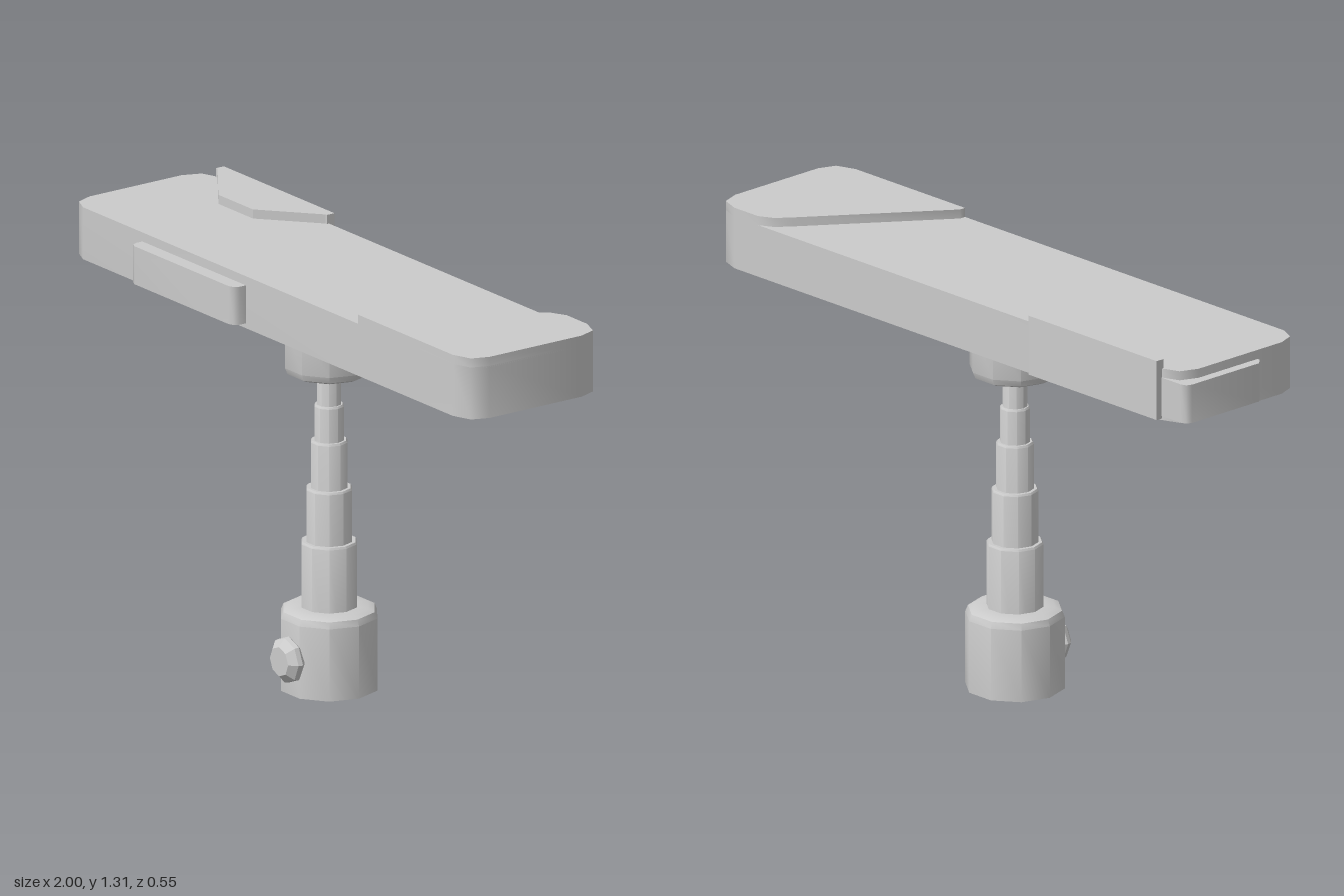
import * as THREE from 'three';
import { toCreasedNormals } from 'three/addons/utils/BufferGeometryUtils.js';

const SIDES = 10;
const solid = new THREE.MeshStandardMaterial({ color: 0xcccccc });
const shell = new THREE.MeshStandardMaterial({ color: 0xcccccc, side: THREE.DoubleSide });

function add(group, name, geometry, material = solid, crease = 0.7) {
  const mesh = new THREE.Mesh(toCreasedNormals(geometry, crease), material);
  mesh.name = name;
  group.add(mesh);
  return mesh;
}

// Turned part from [radius, height] pairs, with corners on the x axis
function turned(profile, sides = SIDES) {
  const points = profile.map(([r, y]) => new THREE.Vector2(r, y));
  return new THREE.LatheGeometry(points, sides, Math.PI / 2);
}

// Plate from an [x, z] outline, standing between two heights
function plate(outline, bottom, top) {
  const shape = new THREE.Shape(outline.map(([x, z]) => new THREE.Vector2(x, -z)));
  const geometry = new THREE.ExtrudeGeometry(shape, { depth: top - bottom, bevelEnabled: false });
  return geometry.rotateX(-Math.PI / 2).translate(0, bottom, 0);
}

export function createModel() {
  const model = new THREE.Group();
  model.name = 'telescopicStandWithHead';

  // Hollow base, open underneath
  add(model, 'base', turned([
    [0.148, 0], [0.148, 0.222], [0.14, 0.241], [0.12, 0.25], [0.075, 0.25],
  ]), shell);

  // Nested tubes of the telescopic mast
  const tubes = [[0.085, 0.45], [0.07, 0.615], [0.056, 0.76], [0.045, 0.87], [0.037, 1.0]];
  tubes.forEach(([r, top], i) => {
    const inner = i < tubes.length - 1 ? tubes[i + 1][0] - 0.002 : 0;
    add(model, `mastTube${i + 1}`, turned([
      [r, 0.01], [r, top - 0.006], [r - 0.004, top], [inner, top],
    ]), shell);
  });

  // Faceted locking knob
  const knob = add(model, 'knob', turned([
    [0.045, -0.03], [0.055, 0], [0.071, 0.02], [0.068, 0.034], [0.045, 0.055], [0, 0.055],
  ], 8), shell, 0.3);
  knob.rotation.x = Math.PI / 2;
  knob.position.set(0, 0.11, 0.127);

  // Socket under the head
  add(model, 'socket', turned([
    [0, 0.964], [0.108, 0.964], [0.128, 0.973], [0.136, 0.992], [0.136, 1.125],
  ]));

  // Long head with softened corners
  add(model, 'head', plate([
    [-0.9, 0.23], [0.92, 0.23], [0.98, 0.208], [1, 0.155],
    [1, -0.18], [0.98, -0.236], [0.92, -0.258],
    [-0.89, -0.258], [-0.948, -0.236], [-0.97, -0.18],
    [-0.97, 0.155], [-0.95, 0.208],
  ], 1.12, 1.28), solid, 0.9);

  // Raised plate on the left end
  add(model, 'endCover', plate([
    [0.455, 0.23], [0.92, 0.23], [0.98, 0.208], [1, 0.155],
    [1, -0.18], [0.98, -0.236], [0.92, -0.258],
    [0.82, -0.258], [0.775, -0.235], [0.74, -0.19], [0.455, 0.21],
  ], 1.275, 1.308), solid, 0.9);

  // Rear clip: top tab and the plate down the back
  add(model, 'clipTab', plate([
    [-0.895, -0.278], [-0.895, -0.255], [-0.69, -0.107],
    [-0.52, -0.107], [-0.35, -0.255], [-0.35, -0.278],
  ], 1.275, 1.308), solid, 0.3);
  add(model, 'clipBack', plate([
    [-0.895, -0.278], [-0.895, -0.25], [-0.35, -0.25], [-0.35, -0.278],
  ], 1.125, 1.308), solid, 0.3);

  // Pad wrapping the right rear corner
  add(model, 'cornerPad', plate([
    [-0.96, 0.06], [-0.98, 0.056], [-1, 0.035], [-1, -0.235],
    [-0.993, -0.252], [-0.975, -0.258], [-0.88, -0.258], [-0.88, -0.2], [-0.96, -0.15],
  ], 1.133, 1.252), solid, 0.9);

  // Front panel
  add(model, 'frontPanel', plate([
    [-0.608, 0.22], [-0.608, 0.252], [-0.602, 0.268], [-0.585, 0.275],
    [-0.122, 0.275], [-0.105, 0.268], [-0.098, 0.252], [-0.098, 0.22],
  ], 1.135, 1.252), solid, 0.9);

  return model;
}
